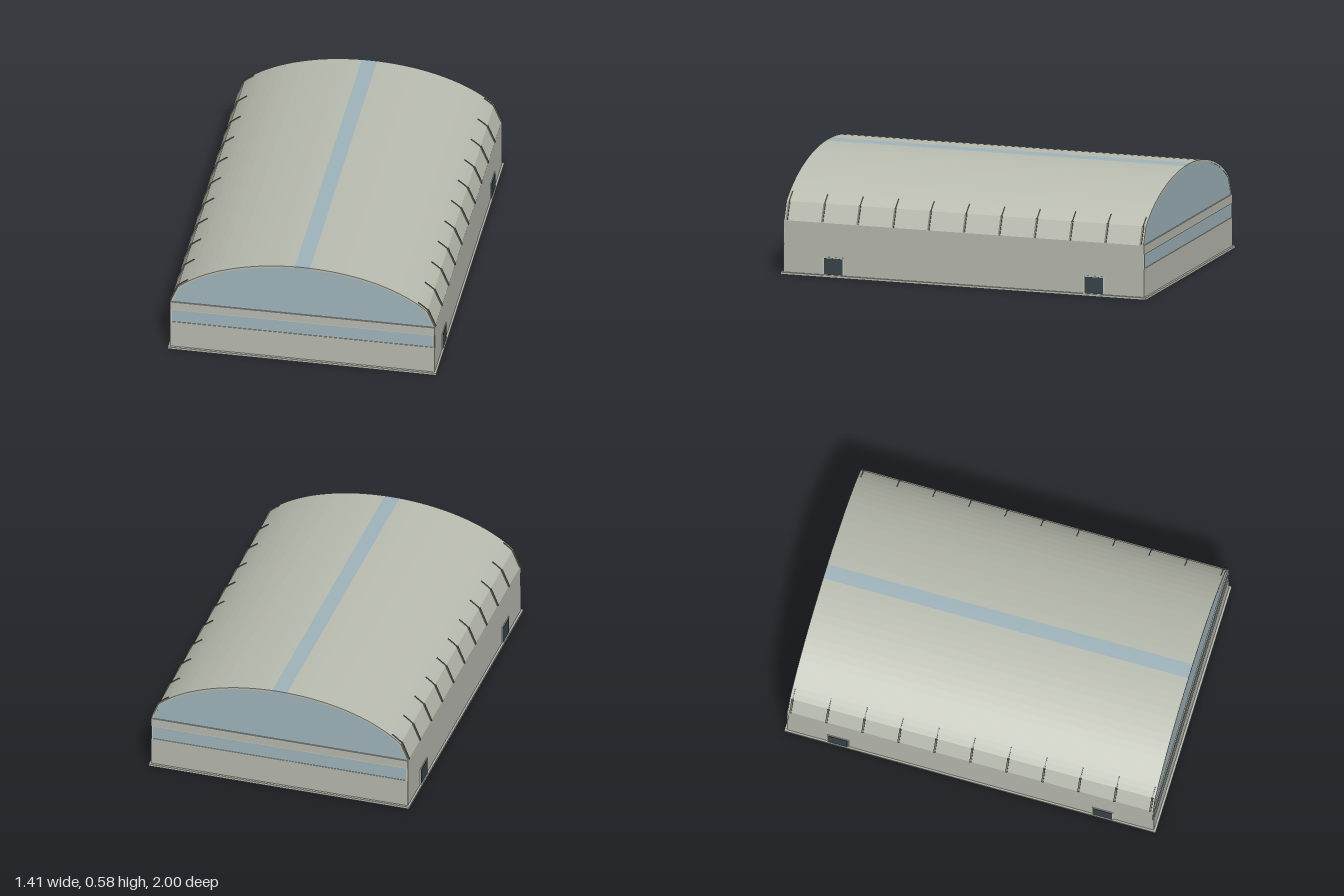
import * as THREE from 'three';

const mat = (name, color) => {
  const m = new THREE.MeshStandardMaterial({ color });
  m.name = name;
  return m;
};

const KNEE_X = 0.655, KNEE_Y = 0.379, EAVE_X = 0.695, EAVE_Y = 0.285;
const APEX = 0.577, A = 0.76;
const B = (APEX - KNEE_Y) / (1 - Math.sqrt(1 - (KNEE_X / A) ** 2));
// height of the elliptical vault at x
const vault = (x) => APEX - B + B * Math.sqrt(1 - (x / A) ** 2);

// points along the vault between two x positions, evenly spaced in angle
function vaultPoints(x0, x1, n) {
  const t0 = Math.asin(x0 / A), t1 = Math.asin(x1 / A), pts = [];
  for (let i = 0; i <= n; i++) {
    const x = A * Math.sin(t0 + ((t1 - t0) * i) / n);
    pts.push([x, vault(x)]);
  }
  return pts;
}

// extrude an outline in the xy plane, centred on z
function prism(points, depth, z = 0) {
  const shape = new THREE.Shape(points.map(([x, y]) => new THREE.Vector2(x, y)));
  const g = new THREE.ExtrudeGeometry(shape, { depth, bevelEnabled: false });
  return g.translate(0, 0, z - depth / 2);
}

// band following a line, with its second side shifted by dx, dy
const band = (pts, dx, dy) => [...pts, ...pts.map(([x, y]) => [x + dx, y + dy]).reverse()];

export function createModel() {
  const model = new THREE.Group();
  const wall = mat('wall concrete', 0xb7b9af);
  const roof = mat('roof metal', 0xb9bcaf);
  const glass = mat('blue glass', 0x9fb4bb);
  const trim = mat('pale trim', 0xc6c7b5);
  const dark = mat('dark door', 0x37444a);
  const rib = mat('rib grey', 0x777a72);

  const add = (name, geometry, material) => {
    const m = new THREE.Mesh(geometry, material);
    m.name = name;
    model.add(m);
    return m;
  };
  const box = (name, w, h, d, x, y, z, material) =>
    add(name, new THREE.BoxGeometry(w, h, d).translate(x, y, z), material);

  // ground slab and walls, with a recess at the window height
  box('baseSlab', 1.41, 0.012, 2, 0, 0.006, 0, wall);
  box('lowerWall', 1.39, 0.148, 1.976, 0, 0.086, 0, wall);
  box('windowCore', 1.39, 0.08, 1.964, 0, 0.2, 0, wall);
  box('upperWall', 1.39, 0.045, 1.976, 0, 0.2625, 0, wall);

  // vaulted roof in two halves with a ridge skylight between them
  const L = 1.968;
  for (const s of [-1, 1]) {
    const pts = vaultPoints(s * 0.04, s * KNEE_X, 16);
    add('roofVault', prism(band(pts, 0, -0.012), L), roof);
    const slope = [[s * KNEE_X, KNEE_Y], [s * EAVE_X, EAVE_Y]];
    add('roofSkirt', prism(band(slope, -s * 0.012, 0), L), roof);
  }
  add('ridgeSkylight', prism(band(vaultPoints(-0.04, 0.04, 2), 0, -0.012), L), glass);

  // glazed gables and ribbon windows on both ends
  const gable = [[-EAVE_X + 0.007, EAVE_Y], ...vaultPoints(-KNEE_X, KNEE_X, 34).map(([x, y]) => [x * 0.99, y - 0.006]),
    [EAVE_X - 0.007, EAVE_Y]];
  for (const s of [-1, 1]) {
    add('gableGlass', prism(gable, 0.006, s * 0.979), glass);
    box('ribbonWindow', 1.37, 0.08, 0.004, 0, 0.2, s * 0.983, glass);
    for (const y of [0.161, 0.239]) box('windowRail', 1.384, 0.004, 0.008, 0, y, s * 0.984, trim);
    for (const x of [-0.688, 0.688]) box('windowPost', 0.008, 0.08, 0.008, x, 0.2, s * 0.984, trim);
  }

  // ribs over the skirt, running thinner onto the vault
  const skirtLine = [[EAVE_X - 0.004, EAVE_Y], [KNEE_X - 0.003, KNEE_Y]];
  const vaultLine = vaultPoints(KNEE_X, 0.605, 4);
  for (const s of [-1, 1]) {
    const mirror = (pts) => pts.map(([x, y]) => [s * x, y]);
    for (let i = -5; i <= 5; i++) {
      const z = i * 0.1938;
      add('skirtRib', prism(mirror(band(skirtLine, 0.009, 0.002)), 0.01, z), rib);
      add('vaultRib', prism(mirror(band(vaultLine, 0.002, 0.004)), 0.004, z), rib);
    }
    // side doors with pale frames
    for (const z of [-0.713, 0.713]) {
      box('doorFrame', 0.006, 0.094, 0.116, s * 0.695, 0.059, z, trim);
      box('door', 0.008, 0.086, 0.102, s * 0.696, 0.057, z, dark);
    }
  }
  return model;
}
